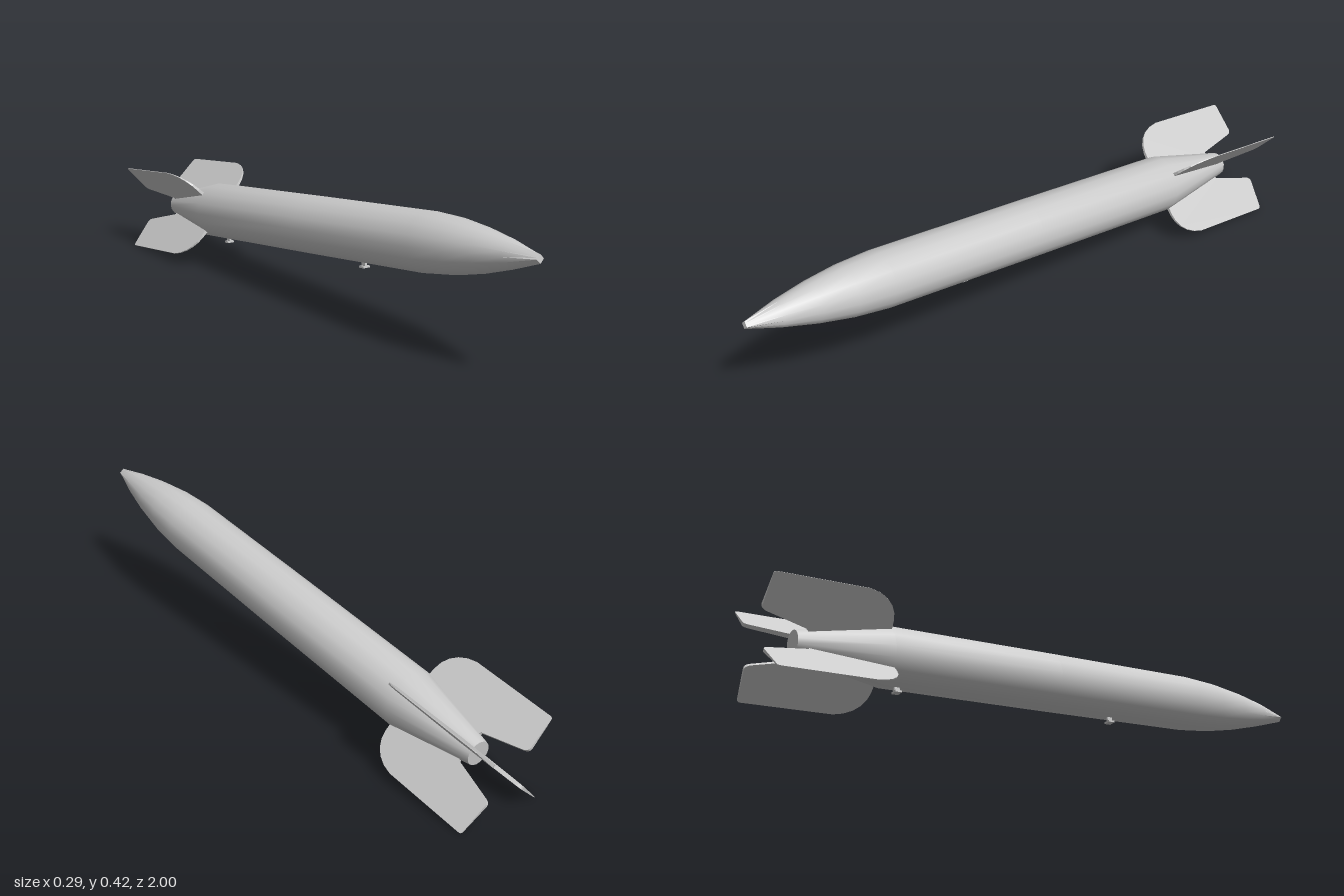
import * as THREE from 'three';
import { toCreasedNormals } from 'three/addons/utils/BufferGeometryUtils.js';

const SIDES = 16;
const TILT = 0.121;          // nose-up pitch
const TAIL = -0.877, NOSE = 1.007;

export function createModel() {
  const model = new THREE.Group();
  model.name = 'finnedRocket';
  const material = new THREE.MeshStandardMaterial({ color: 0xcccccc });

  // Everything is built along local y (tail to nose; local +z is the underside), then tilted
  const rocket = new THREE.Group();
  rocket.name = 'rocket';
  rocket.position.y = 0.265;
  rocket.rotation.x = Math.PI / 2 - TILT;
  model.add(rocket);

  const add = (name, geometry, parent = rocket) => {
    const mesh = new THREE.Mesh(geometry, material);
    mesh.name = name;
    parent.add(mesh);
    return mesh;
  };

  // Body: tapered tail, long tube, ogive nose
  const profile = [
    [0.039, TAIL], [0.094, -0.59], [0.0935, 0], [0.091, 0.56],
    [0.082, 0.68], [0.065, 0.79], [0.041, 0.9], [0.013, NOSE],
  ].map(([r, s]) => new THREE.Vector2(r, s));
  const body = new THREE.LatheGeometry(profile, SIDES);
  // The tip ring narrows to a four-cornered diamond
  const pos = body.attributes.position;
  for (let i = 0; i < pos.count; i++) {
    if (pos.getY(i) < NOSE - 0.001) continue;
    const x = pos.getX(i), z = pos.getZ(i);
    const k = Math.hypot(x, z) / (Math.abs(x) + Math.abs(z));
    pos.setX(i, x * k);
    pos.setZ(i, z * k);
  }
  add('body', toCreasedNormals(body, 0.45));

  // Flat end caps
  const tailCap = add('tailCap', new THREE.CircleGeometry(0.039, SIDES));
  tailCap.position.y = TAIL;
  tailCap.rotation.x = Math.PI / 2;
  const noseCap = add('noseCap', new THREE.CircleGeometry(0.013, 4));
  noseCap.position.y = NOSE;
  noseCap.rotation.x = -Math.PI / 2;

  // Fin outline: x is distance from the axis, y runs along the body
  const outline = new THREE.Shape();
  outline.moveTo(0.03, -0.84);
  outline.lineTo(0.05, -0.845);
  outline.lineTo(0.083, -0.98);
  outline.quadraticCurveTo(0.087, -0.998, 0.1, -0.998);
  outline.lineTo(0.194, -0.991);
  outline.quadraticCurveTo(0.202, -0.99, 0.202, -0.98);
  outline.lineTo(0.202, -0.69);
  outline.bezierCurveTo(0.195, -0.63, 0.16, -0.593, 0.115, -0.59);
  outline.lineTo(0.075, -0.588);
  outline.lineTo(0.03, -0.65);
  const finGeometry = new THREE.ExtrudeGeometry(outline, { depth: 1, bevelEnabled: false, curveSegments: 5 });
  // Thick at the root, thin at the outer edge
  const fp = finGeometry.attributes.position;
  for (let i = 0; i < fp.count; i++) {
    const t = THREE.MathUtils.mapLinear(fp.getX(i), 0.03, 0.202, 0.016, 0.002);
    fp.setZ(i, (fp.getZ(i) - 0.5) * t);
  }
  finGeometry.computeVertexNormals();
  for (let i = 0; i < 4; i++) {
    add('fin' + (i + 1), finGeometry).rotation.y = Math.PI / 4 + i * Math.PI / 2;
  }

  // T-shaped launch lugs under the body
  for (const [name, s] of [['frontLug', 0.236], ['rearLug', -0.548]]) {
    const lug = new THREE.Group();
    lug.name = name;
    lug.position.y = s;
    rocket.add(lug);
    add('lugStem', new THREE.BoxGeometry(0.008, 0.018, 0.018), lug).position.z = 0.098;
    add('lugPlate', new THREE.BoxGeometry(0.024, 0.022, 0.006), lug).position.z = 0.108;
  }
  return model;
}
